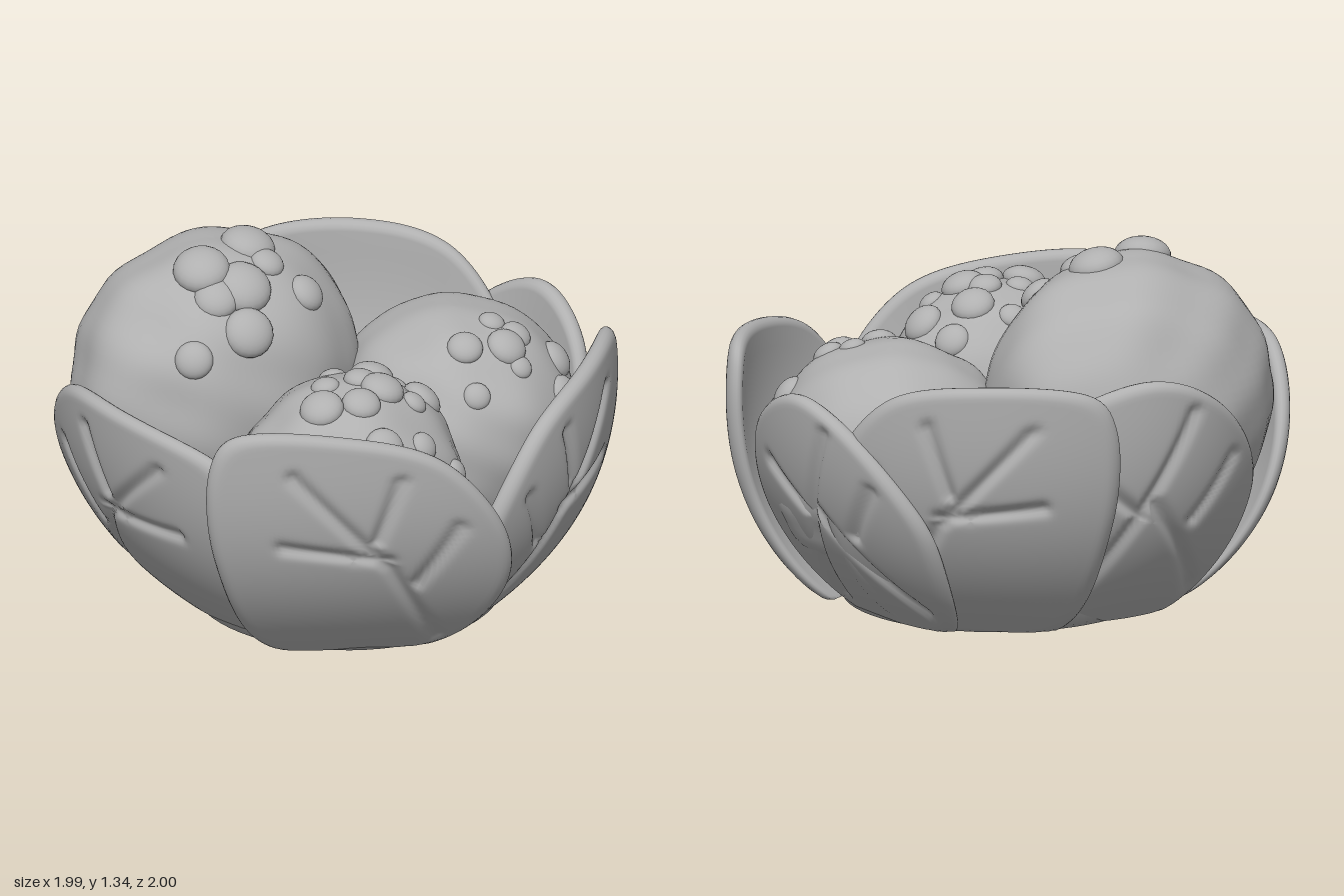
import * as THREE from 'three';

const grey = new THREE.MeshStandardMaterial({ color: 0xb0b0b0, side: THREE.DoubleSide });
grey.name = 'clay grey';

// Two leaf patterns, across -1..1 and up 0..1, clockwise; the leaning one has its tip on the right
const LEANING = {
  outline: [[-0.55, 0], [-0.98, 0.32], [-0.96, 0.58], [-0.54, 0.88], [0.1, 0.99], [0.87, 0.99], [1, 0.87], [0.95, 0.48], [0.5, 0]],
  veins: [[-0.55, 0.06, -0.2, 0.45], [-0.2, 0.45, 0.46, 0.85], [-0.18, 0.49, 0.52, 0.56], [-0.1, 0.58, -0.25, 0.82], [-0.38, 0.38, -0.65, 0.62]],
};
const UPRIGHT = {
  outline: [[-0.62, 0], [-0.98, 0.45], [-0.75, 0.83], [-0.13, 1], [0.5, 0.86], [0.97, 0.47], [0.55, 0]],
  veins: [[-0.45, 0.09, -0.13, 0.5], [-0.13, 0.5, 0.2, 0.87], [-0.13, 0.48, -0.58, 0.68], [0.3, 0.44, 0.6, 0.66], [-0.05, 0.53, 0.55, 0.11]],
};

function segmentDistance(x, y, [ax, ay, bx, by]) {
  const dx = bx - ax, dy = by - ay;
  const t = THREE.MathUtils.clamp(((x - ax) * dx + (y - ay) * dy) / (dx * dx + dy * dy), 0, 1);
  return Math.hypot(x - ax - t * dx, y - ay - t * dy);
}

// A leaf fills its outline on a curved wall, with a rolled rim and grooved veins outside.
// side: 1 tip to the right, -1 mirrored; from/to: its edges; tilt: lowers the right end;
// bulge: how far the top leans out; bend: how much it wraps around its peak line
function makeLeaf(name, pattern, { angle, side = 1, from, to, height, tilt = 0, bulge = 0, bend, peak }) {
  const N = 128, half = 0.035;
  const centre = (from + to) / 2, width = (to - from) / 2;
  const across = u => centre + side * width * u;
  const up = (u, y) => y * height * (1 - tilt * across(u));
  let points = pattern.outline.map(([u, y]) => new THREE.Vector3(across(u), up(u, y), 0));
  if (side < 0) points = points.reverse();
  const veins = pattern.veins.map(([a, b, c, d]) => [across(a), up(a, b), across(c), up(c, d)]);
  const edge = new THREE.CatmullRomCurve3(points, true).getSpacedPoints(N).slice(0, N);
  const mid = edge.reduce((sum, p) => sum.add(p), new THREE.Vector3()).divideScalar(N);

  // Rings from the outer middle, round the rim, to the inner middle
  const rings = [];
  for (let i = 0; i <= 30; i++) rings.push({ scale: 0.93 * i / 30, depth: 0, outer: true });
  for (let i = 1; i <= 8; i++) {
    const a = Math.PI * i / 8;
    rings.push({ scale: 0.93 + 0.07 * Math.sin(a), depth: half * (Math.cos(a) - 1) });
  }
  for (let i = 5; i >= 0; i--) rings.push({ scale: 0.93 * i / 6, depth: -2 * half });

  const turn = THREE.MathUtils.degToRad(angle);
  const sin = Math.sin(turn), cos = Math.cos(turn);
  const pos = [], index = [];
  rings.forEach(({ scale, depth, outer }, i) => edge.forEach((p, j) => {
    const u = mid.x + (p.x - mid.x) * scale;
    const y = Math.max(0, mid.y + (p.y - mid.y) * scale);
    const wall = 0.55 + 0.4 * (1 - Math.pow(1 - Math.min(y, 1), 2.8));
    let w = wall + bulge * y - bend * (u - peak) ** 2 + depth;
    if (outer) {
      const d = Math.min(...veins.map(v => segmentDistance(u, y, v)));
      w -= 0.024 * Math.exp(-((d / 0.025) ** 2));
    }
    pos.push(sin * w + cos * u, y, cos * w - sin * u);
    if (i < rings.length - 1) {
      const next = (j + 1) % N;
      const a = i * N + j, b = a + N, c = (i + 1) * N + next, d = i * N + next;
      index.push(a, d, c, a, c, b);
    }
  }));
  const geo = new THREE.BufferGeometry();
  geo.setAttribute('position', new THREE.Float32BufferAttribute(pos, 3));
  geo.setIndex(index);
  geo.computeVertexNormals();
  const mesh = new THREE.Mesh(geo, grey);
  mesh.name = name;
  return mesh;
}

// Soft lumps on a ball, from a few crossed waves
function swell({ x, y, z }, seed) {
  return 1 + 0.02 * Math.sin(5 * x + 2.1 * seed + 4 * y) * Math.sin(6 * z + seed + 3 * x - 3 * y)
    + 0.014 * Math.sin(9 * y + 5 * z + seed) * Math.sin(8 * x - 5 * z + 3 * seed + 4 * y);
}

// A lumpy ball with a patch of nubs spiralling out from a point on its upper front
function makeScoop(name, seed, centre, radii, { x, z, spreadX, spreadZ, count, size }) {
  const group = new THREE.Group();
  group.name = name;
  const c = new THREE.Vector3(...centre), r = new THREE.Vector3(...radii);
  const geo = new THREE.SphereGeometry(1, 72, 48);
  const p = geo.attributes.position, n = geo.attributes.normal, v = new THREE.Vector3();
  for (let i = 0; i < p.count; i++) {
    v.fromBufferAttribute(p, i);
    v.multiplyScalar(swell(v, seed)).multiply(r);
    p.setXYZ(i, v.x, v.y, v.z);
  }
  geo.computeVertexNormals();
  // Join the normals across the seam
  for (let i = 0; i < p.count; i += 73) {
    const e = i + 72;
    v.fromBufferAttribute(n, i).add(new THREE.Vector3().fromBufferAttribute(n, e)).normalize();
    n.setXYZ(i, v.x, v.y, v.z);
    n.setXYZ(e, v.x, v.y, v.z);
  }
  const ball = new THREE.Mesh(geo, grey);
  ball.name = 'scoopBall';
  group.add(ball);

  for (let i = 0; i < count; i++) {
    const out = Math.sqrt(i / (count - 1)), a = 2.4 * i + seed;
    const dx = (x + spreadX * out * Math.cos(a) - c.x) / r.x;
    const dz = (z + spreadZ * out * Math.sin(a) - c.z) / r.z;
    const dir = new THREE.Vector3(dx, Math.sqrt(Math.max(0.03, 1 - dx * dx - dz * dz)), dz).normalize();
    const nub = new THREE.Mesh(new THREE.SphereGeometry(size * (1 + 0.25 * Math.cos(1.7 * i)), 20, 14), grey);
    nub.name = 'nub';
    nub.position.copy(dir).multiplyScalar(swell(dir, seed) - 0.02).multiply(r);
    nub.quaternion.setFromUnitVectors(new THREE.Vector3(0, 1, 0), dir);
    nub.scale.y = 0.65;
    group.add(nub);
  }
  group.position.copy(c);
  return group;
}

export function createModel() {
  const model = new THREE.Group();
  model.name = 'leafBowlWithScoops';

  // Ring of six overlapping leaves
  model.add(
    makeLeaf('frontRightLeaf', LEANING, { angle: -35, side: -1, from: -0.59, to: 0.51, height: 1.015, bend: 0.13, peak: 0 }),
    makeLeaf('frontLeftLeaf', LEANING, { angle: 20, from: -0.33, to: 0.65, height: 0.97, bulge: -0.06, bend: 0.45, peak: 0.1 }),
    makeLeaf('leftLeaf', UPRIGHT, { angle: 90, from: -0.37, to: 0.52, height: 0.91, bulge: 0.05, bend: 0.5, peak: 0.05 }),
    makeLeaf('backLeftLeaf', LEANING, { angle: 130, from: -0.5, to: 0.57, height: 1.04, tilt: 0.12, bulge: 0.03, bend: 0.5, peak: 0.04 }),
    makeLeaf('backLeaf', UPRIGHT, { angle: 170, from: -0.38, to: 0.68, height: 0.99, bulge: 0.03, bend: 0.9, peak: 0.2 }),
    makeLeaf('rightLeaf', LEANING, { angle: -94, from: -0.72, to: 0.43, height: 0.92, tilt: 0.2, bulge: 0.05, bend: 0.45, peak: -0.12 }),
  );

  // Three scoops
  model.add(
    makeScoop('backScoop', 1, [-0.24, 0.77, -0.45], [0.57, 0.53, 0.46],
      { x: -0.31, z: -0.21, spreadX: 0.32, spreadZ: 0.18, count: 8, size: 0.085 }),
    makeScoop('frontScoop', 2, [-0.32, 0.63, 0.37], [0.43, 0.4, 0.38],
      { x: -0.23, z: 0.46, spreadX: 0.27, spreadZ: 0.33, count: 13, size: 0.065 }),
    makeScoop('leftScoop', 3, [0.45, 0.57, 0.07], [0.45, 0.43, 0.45],
      { x: 0.48, z: 0.33, spreadX: 0.32, spreadZ: 0.13, count: 8, size: 0.06 }),
  );

  // Mass that closes the gap between the scoops
  const core = new THREE.Mesh(new THREE.SphereGeometry(0.42, 32, 20), grey);
  core.name = 'core';
  core.position.set(0.02, 0.45, -0.08);
  core.scale.y = 0.7;
  model.add(core);

  // Bowl floor and low inner wall that join the leaves
  const profile = [[0, 0], [0.56, 0], [0.6, 0.15], [0.66, 0.33], [0.62, 0.33], [0.5, 0.06], [0, 0.05]];
  const bowl = new THREE.Mesh(new THREE.LatheGeometry(profile.map(([x, y]) => new THREE.Vector2(x, y)), 64), grey);
  bowl.name = 'bowlBase';
  model.add(bowl);
  return model;
}
